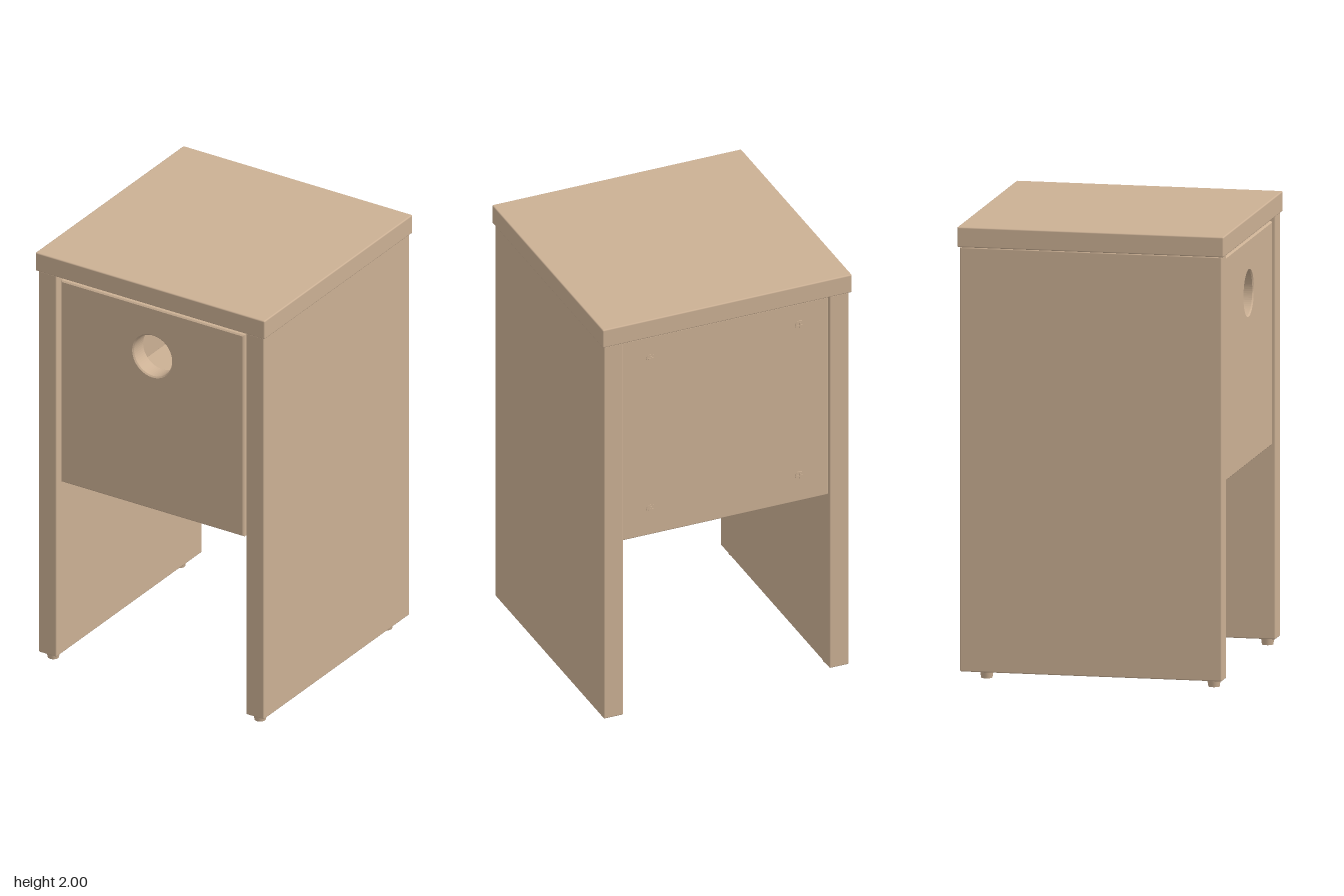
import * as THREE from 'three';
import { RoundedBoxGeometry } from 'three/addons/geometries/RoundedBoxGeometry.js';

export function createModel() {
  const model = new THREE.Group();
  model.name = 'bedsideCabinet';
  const wood = new THREE.MeshStandardMaterial({ color: 0xcbb094 });
  wood.name = 'paleWood';

  const add = (name, geometry, x = 0, y = 0, z = 0) => {
    const mesh = new THREE.Mesh(geometry, wood);
    mesh.name = name;
    mesh.position.set(x, y, z);
    model.add(mesh);
    return mesh;
  };
  // Board with softened edges, given by its extents
  const board = (name, x0, x1, y0, y1, z0, z1) =>
    add(name, new RoundedBoxGeometry(x1 - x0, y1 - y0, z1 - z0, 2, 0.006),
      (x0 + x1) / 2, (y0 + y1) / 2, (z0 + z1) / 2);

  // Carcass
  board('top', -0.595, 0.595, 1.91, 2, -0.595, 0.595);
  board('leftSide', 0.492, 0.585, 0.03, 1.91, -0.585, 0.585);
  board('rightSide', -0.585, -0.492, 0.03, 1.91, -0.585, 0.585);
  board('backPanel', -0.492, 0.492, 0.9, 1.9, -0.57, -0.485);
  board('cabinetFloor', -0.492, 0.492, 1.14, 1.19, -0.485, 0.48);
  board('doorCatch', -0.08, 0.08, 1.88, 1.912, 0.44, 0.5);

  // Door with a round finger hole
  const bevel = 0.006, w = 0.475 - bevel, y0 = 0.895 + bevel, y1 = 1.887 - bevel;
  const outline = new THREE.Shape([
    new THREE.Vector2(-w, y0), new THREE.Vector2(w, y0),
    new THREE.Vector2(w, y1), new THREE.Vector2(-w, y1),
  ]);
  outline.holes.push(new THREE.Path().absarc(0, 1.65, 0.105, 0, Math.PI * 2, true));
  add('door', new THREE.ExtrudeGeometry(outline, {
    depth: 0.085 - 2 * bevel, curveSegments: 32,
    bevelThickness: bevel, bevelSize: bevel, bevelSegments: 1,
  }), 0, 0, 0.49 + bevel);

  for (const s of [-1, 1]) {
    // Door pivots
    const pivot = add('doorPivot', new THREE.CylinderGeometry(0.03, 0.03, 0.04, 20), s * 0.475, 1.03, 0.49);
    pivot.rotation.z = Math.PI / 2;

    // Feet
    for (const z of [0.54, -0.475]) {
      add('foot', new THREE.CylinderGeometry(0.03, 0.025, 0.032, 20), s * 0.537, 0.016, z);
    }

    // Screw heads on the back panel, each with a raised cross
    for (const y of [1.03, 1.79]) {
      const head = add('screwHead', new THREE.CylinderGeometry(0.022, 0.022, 0.006, 16), s * 0.355, y, -0.57);
      head.rotation.x = Math.PI / 2;
      add('screwCross', new THREE.BoxGeometry(0.024, 0.006, 0.004), s * 0.355, y, -0.574);
      add('screwCross', new THREE.BoxGeometry(0.006, 0.024, 0.004), s * 0.355, y, -0.574);
    }

    // Screw heads under the cabinet floor
    for (const z of [-0.3, 0.3]) {
      add('floorScrew', new THREE.CylinderGeometry(0.022, 0.022, 0.006, 16), s * 0.36, 1.139, z);
    }
  }
  return model;
}
